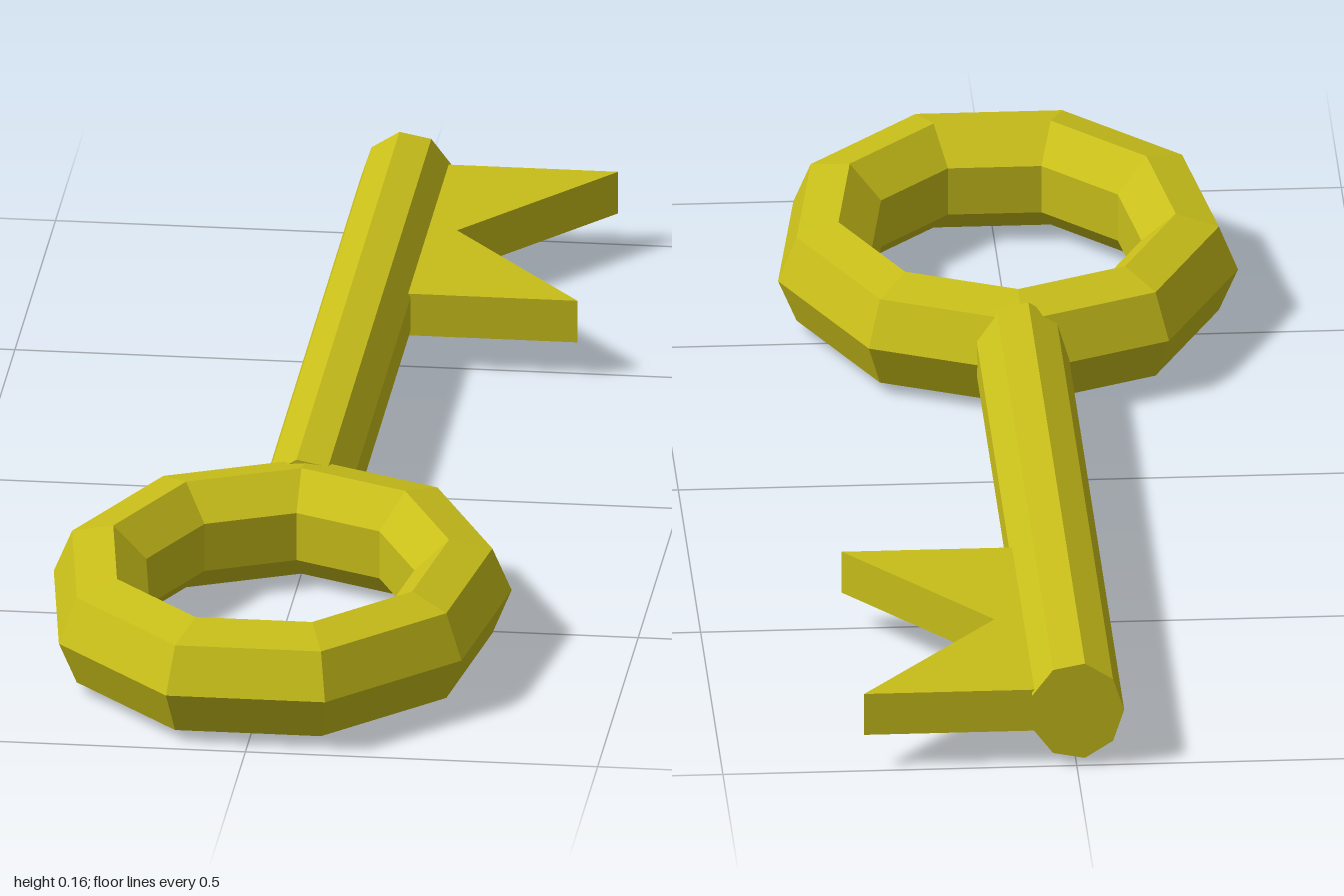
import * as THREE from 'three';

export function createModel() {
  const group = new THREE.Group();
  const material = new THREE.MeshStandardMaterial({ color: 0xc8be1a, flatShading: true });
  const add = (name, geometry) => {
    const mesh = new THREE.Mesh(geometry, material);
    mesh.name = name;
    group.add(mesh);
  };

  // Oval handle ring: nine-sided torus with a seven-sided tube, stretched along z
  const ring = new THREE.TorusGeometry(0.258, 0.072, 7, 9);
  ring.rotateZ(Math.PI / 2).rotateX(-Math.PI / 2);
  ring.scale(1, 1.14, 1.25).translate(0, 0.08, 0.612);
  add('handleRing', ring);

  // Shaft running back from inside the ring
  const back = -1, front = 0.27;
  const shaft = new THREE.CylinderGeometry(0.067, 0.067, front - back, 9, 1, false, -Math.PI / 2);
  shaft.rotateX(Math.PI / 2).scale(1, 1.1, 1).translate(0, 0.084, (front + back) / 2);
  add('shaft', shaft);

  // Notched bit, drawn in x and z, then laid flat
  const outline = new THREE.Shape([
    [0.03, -0.99], [0.3, -0.99], [0.1, -0.74], [0.3, -0.49], [0.03, -0.49],
  ].map(([x, z]) => new THREE.Vector2(x, z)));
  const bit = new THREE.ExtrudeGeometry(outline, { depth: 0.063, bevelEnabled: false });
  bit.rotateX(Math.PI / 2).translate(0, 0.114, 0);
  add('bit', bit);

  return group;
}
